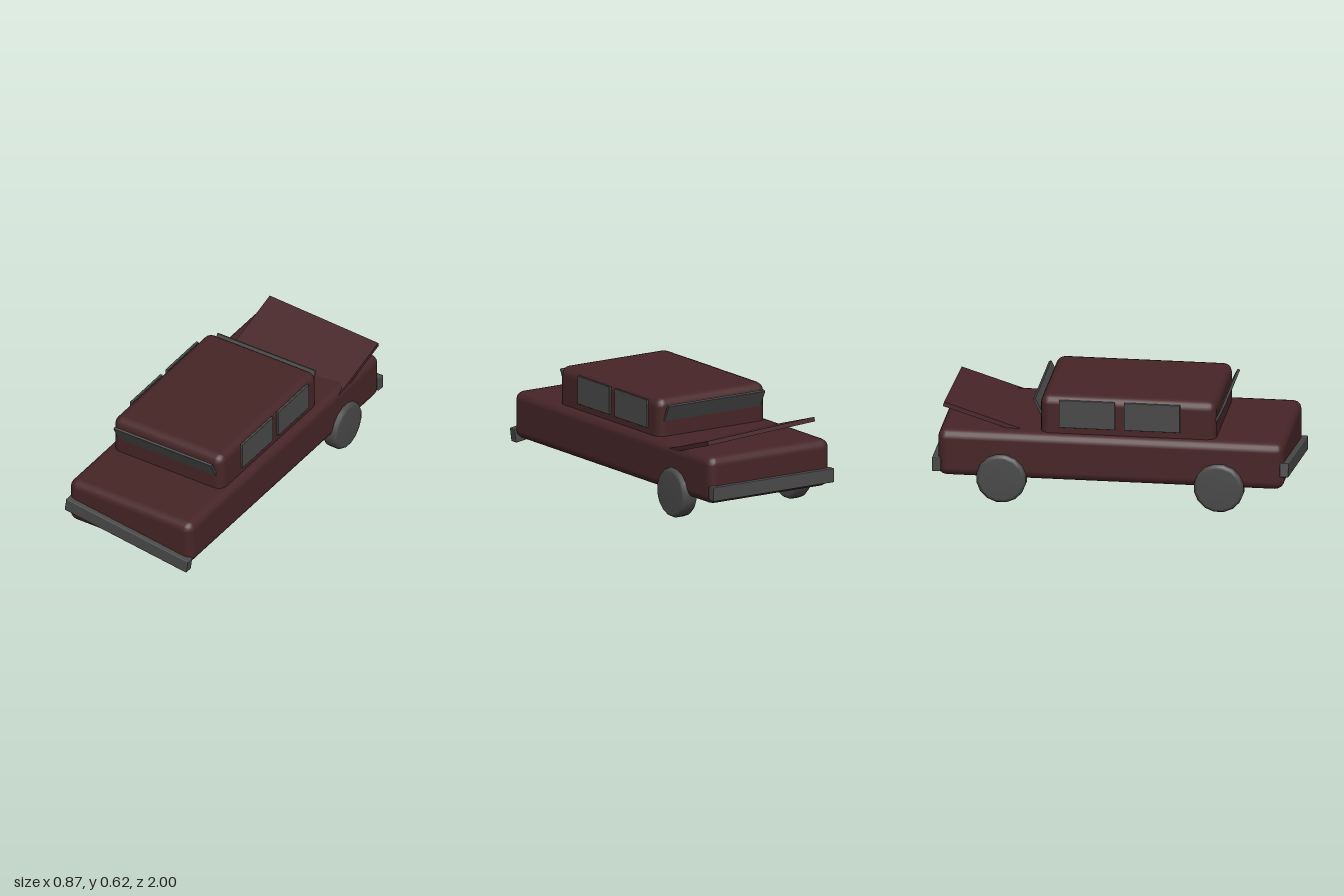
import * as THREE from 'three';
import { RoundedBoxGeometry } from 'three/addons/geometries/RoundedBoxGeometry.js';

export function createModel() {
  const car = new THREE.Group();
  car.name = 'wreckedCar';

  const paint = new THREE.MeshStandardMaterial({ color: 0x472527 });
  paint.name = 'maroonPaint';
  const grey = new THREE.MeshStandardMaterial({ color: 0x4a4a4a });
  grey.name = 'darkGrey';

  function add(name, geometry, material, x, y, z) {
    const mesh = new THREE.Mesh(geometry, material);
    mesh.name = name;
    mesh.position.set(x, y, z);
    car.add(mesh);
    return mesh;
  }
  const rounded = (w, h, d, r, seg = 2) => new RoundedBoxGeometry(w, h, d, seg, r);

  // Main shell and cabin
  add('body', rounded(0.815, 0.27, 1.94, 0.05), paint, 0, 0.27, 0);
  add('cabin', rounded(0.725, 0.27, 0.985, 0.05), paint, 0, 0.485, 0.093);

  // Sprung boot lid, raised at the back and rolled to one side
  const lid = add('bootLid', new THREE.BoxGeometry(0.72, 0.025, 0.455), paint, 0.045, 0.44, -0.73);
  lid.rotation.set(0.3, 0, -0.055, 'ZYX');

  // Bumpers: the front one hangs crooked
  const bumper = rounded(0.815, 0.08, 0.05, 0.005, 1);
  add('frontBumper', bumper, grey, 0, 0.202, 0.975).rotation.z = -0.14;
  add('rearBumper', bumper, grey, 0, 0.203, -0.975);

  // Side windows
  for (const side of [-1, 1]) {
    for (const z of [0.23, -0.135]) {
      add('sideWindow', rounded(0.016, 0.16, 0.315, 0.003, 1), grey, side * 0.366, 0.52, z);
    }
  }

  // Front and rear screens, tipped outwards at the top
  const screen = rounded(0.65, 0.16, 0.016, 0.003, 1);
  add('windshield', screen, grey, 0, 0.515, 0.588).rotation.x = 0.45;
  add('rearScreen', screen, grey, 0, 0.515, -0.402).rotation.x = -0.45;

  // Wheels: the front one on the +x side is missing
  const profile = [
    [0, -0.049], [0.118, -0.049], [0.132, -0.043], [0.141, -0.028],
    [0.141, 0.028], [0.132, 0.043], [0.118, 0.049], [0, 0.049],
  ].map(([r, h]) => new THREE.Vector2(r, h));
  const wheel = new THREE.LatheGeometry(profile, 16, Math.PI / 16);
  wheel.rotateZ(Math.PI / 2);
  for (const [name, x, z] of [
    ['frontWheel', -0.386, 0.61],
    ['rearWheel', -0.386, -0.61],
    ['rearWheel', 0.386, -0.61],
  ]) {
    add(name, wheel, grey, x, 0.14, z);
  }

  return car;
}
